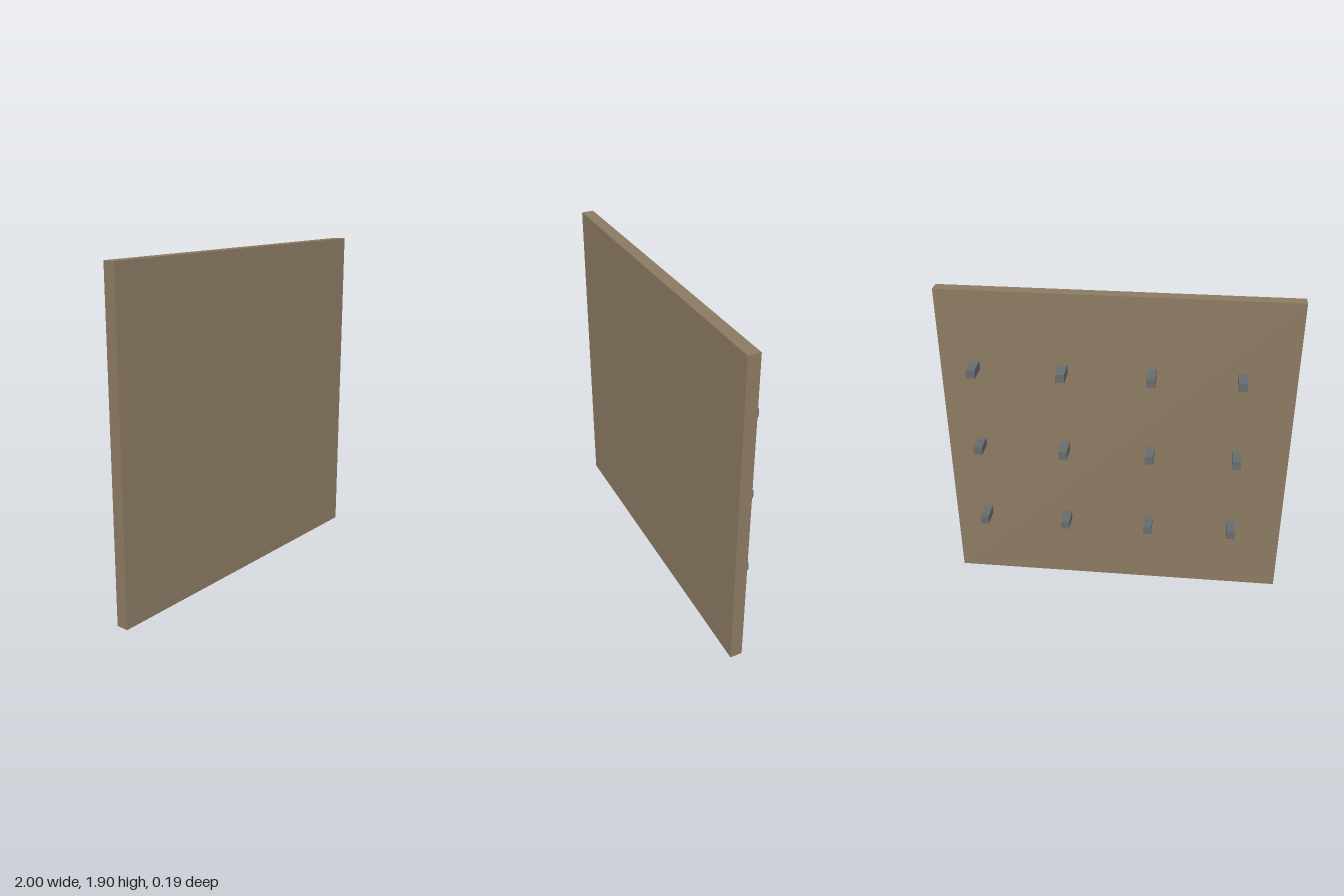
import * as THREE from 'three';

export function createModel() {
  const model = new THREE.Group();
  model.name = 'peggedPanel';

  const panelMaterial = new THREE.MeshStandardMaterial({ color: 0x8b7a62 });
  const pegMaterial = new THREE.MeshStandardMaterial({ color: 0x666b6e });

  const front = 0.095, panelBack = 0.024, pegBack = -0.095;

  // Flat panel
  const height = 1.9;
  const panel = new THREE.Mesh(new THREE.BoxGeometry(2, height, front - panelBack), panelMaterial);
  panel.name = 'panel';
  panel.position.set(0, height / 2, (front + panelBack) / 2);
  model.add(panel);

  // Grid of square pegs standing out from the back
  const pegs = new THREE.Group();
  pegs.name = 'pegs';
  const pegGeometry = new THREE.BoxGeometry(0.05, 0.05, panelBack - pegBack);
  for (let row = 0; row < 3; row++) {
    for (let column = 0; column < 4; column++) {
      const peg = new THREE.Mesh(pegGeometry, pegMaterial);
      peg.name = `peg${row + 1}_${column + 1}`;
      peg.position.set(-0.7 + column * 0.5, 0.453 + row * 0.5, (panelBack + pegBack) / 2);
      pegs.add(peg);
    }
  }
  model.add(pegs);

  return model;
}
